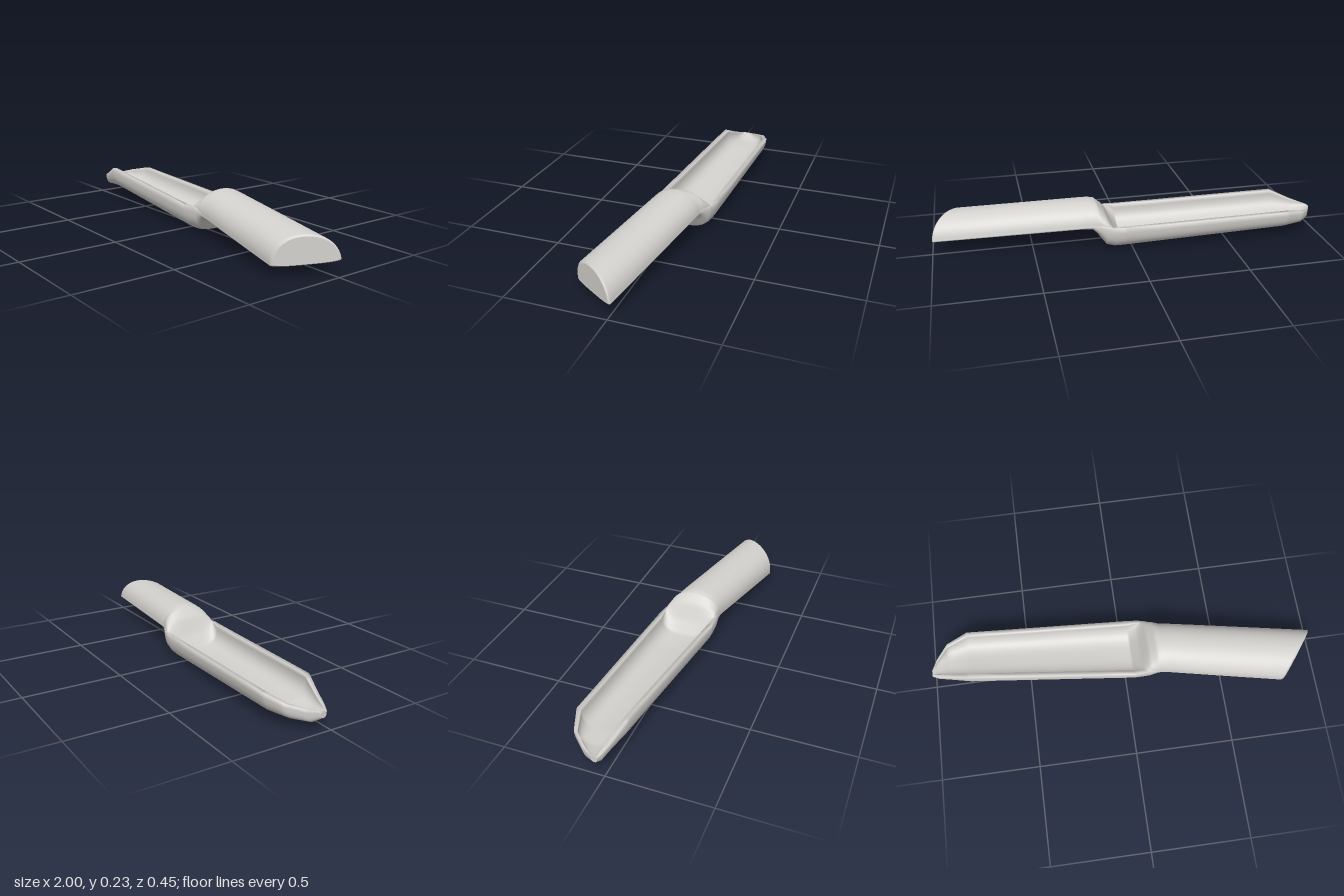
import * as THREE from 'three';

// Key sections: x, front edge z, y, back edge z, y,
// depth of the underside, rise of the upper side (negative = hollow)
const SECTIONS = [
  [-1.0, -0.03, 0.1, -0.06, 0.1, 0.03, 0],
  [-0.97, -0.016, 0.11, -0.115, 0.11, 0.063, -0.02],
  [-0.91, 0.003, 0.132, -0.185, 0.131, 0.082, -0.055],
  [-0.8, 0.033, 0.183, -0.227, 0.154, 0.119, -0.094],
  [0.04, 0.12, 0.143, -0.185, 0.133, 0.134, -0.106],
  [0.09, 0.12, 0.146, -0.18, 0.133, 0.137, -0.035],
  [0.13, 0.12, 0.144, -0.173, 0.134, 0.126, 0.045],
  [0.17, 0.118, 0.13, -0.155, 0.138, 0.068, 0.095],
  [0.2, 0.119, 0.118, -0.141, 0.137, 0.026, 0.108],
  [0.24, 0.124, 0.113, -0.135, 0.135, 0.02, 0.111],
  [0.9, 0.226, 0.053, -0.017, 0.083, 0.014, 0.122],
];
const HALF = 32, STEPS = 5;
const { clamp, lerp } = THREE.MathUtils;
const power = (v, e) => Math.sign(v) * Math.abs(v) ** e;

// Closed cross-section: underside from front to back, then upper side back again
function ring([x, fz, fy, bz, by, depth, rise]) {
  const cz = (fz + bz) / 2, cy = (fy + by) / 2;
  const half = Math.hypot(fz - bz, fy - by) / 2;
  const uz = (fz - cz) / half, uy = (fy - cy) / half;
  // The handle leans progressively into its slanted end
  const shear = -0.75 * clamp((x - 0.18) / 0.72, 0, 1);
  const hollow = clamp((0.12 - rise) / 0.22, 0.03, 1);
  const inner = half - Math.min(0.022 * hollow, half * 0.3);
  const points = [];
  const add = (along, up) => {
    const z = cz + along * uz - up * uy;
    points.push(new THREE.Vector3(x + shear * (z - cz), cy + along * uy + up * uz, z));
  };
  for (let i = 0; i <= HALF; i++) {
    const a = (Math.PI * i) / HALF;
    add(half * power(Math.cos(a), 0.68), -depth * power(Math.sin(a), 0.68));
  }
  const e = 0.95 - 0.25 * hollow;
  for (let i = HALF; i >= 0; i--) {
    const a = (Math.PI * i) / HALF;
    add(inner * power(Math.cos(a), e), rise * power(Math.sin(a), e));
  }
  return points;
}

function centreOf(points) {
  const centre = new THREE.Vector3();
  points.forEach((p) => centre.addScaledVector(p, 1 / points.length));
  return centre;
}

// Copy of a ring, shrunk towards its centre and pushed outwards along x
function inset(points, scale, push) {
  const centre = centreOf(points);
  return points.map((p) => {
    const q = p.clone().sub(centre).multiplyScalar(scale).add(centre);
    q.x += push;
    return q;
  });
}

function geometry(points, index) {
  const g = new THREE.BufferGeometry().setFromPoints(points);
  g.setIndex(index);
  g.computeVertexNormals();
  return g;
}

// Skin stretched over consecutive rings
function loft(rings) {
  const n = rings[0].length, index = [];
  for (let j = 0; j < rings.length - 1; j++) {
    for (let i = 0; i < n; i++) {
      const k = (i + 1) % n, a = j * n, b = a + n;
      index.push(a + i, a + k, b + k, a + i, b + k, b + i);
    }
  }
  return geometry(rings.flat(), index);
}

// Flat fan closing one ring
function cap(points, flip) {
  const n = points.length, index = [];
  for (let i = 0; i < n; i++) {
    const k = (i + 1) % n;
    index.push(n, flip ? k : i, flip ? i : k);
  }
  return geometry([...points, centreOf(points)], index);
}

export function createModel() {
  const group = new THREE.Group();
  group.name = 'scoop';
  const material = new THREE.MeshStandardMaterial({ color: 0xd4d2ce });
  material.name = 'warm light grey';

  // Blend between neighbouring key sections
  const rings = [];
  SECTIONS.slice(1).forEach((next, j) => {
    for (let t = 0; t < STEPS; t++) {
      rings.push(ring(SECTIONS[j].map((v, c) => lerp(v, next[c], t / STEPS))));
    }
  });
  // Softly rounded edge around the handle end
  const end = ring(SECTIONS[SECTIONS.length - 1]);
  const endFace = inset(end, 0.9, 0.012);
  rings.push(end, inset(end, 0.97, 0.008), endFace);

  const add = (name, geo) => {
    const mesh = new THREE.Mesh(geo, material);
    mesh.name = name;
    group.add(mesh);
  };
  // Trough, stepped neck and domed handle in one smooth skin
  add('troughAndHandle', loft(rings));
  add('troughTip', cap(rings[0], true));
  add('handleEndFace', cap(endFace, false));
  return group;
}
